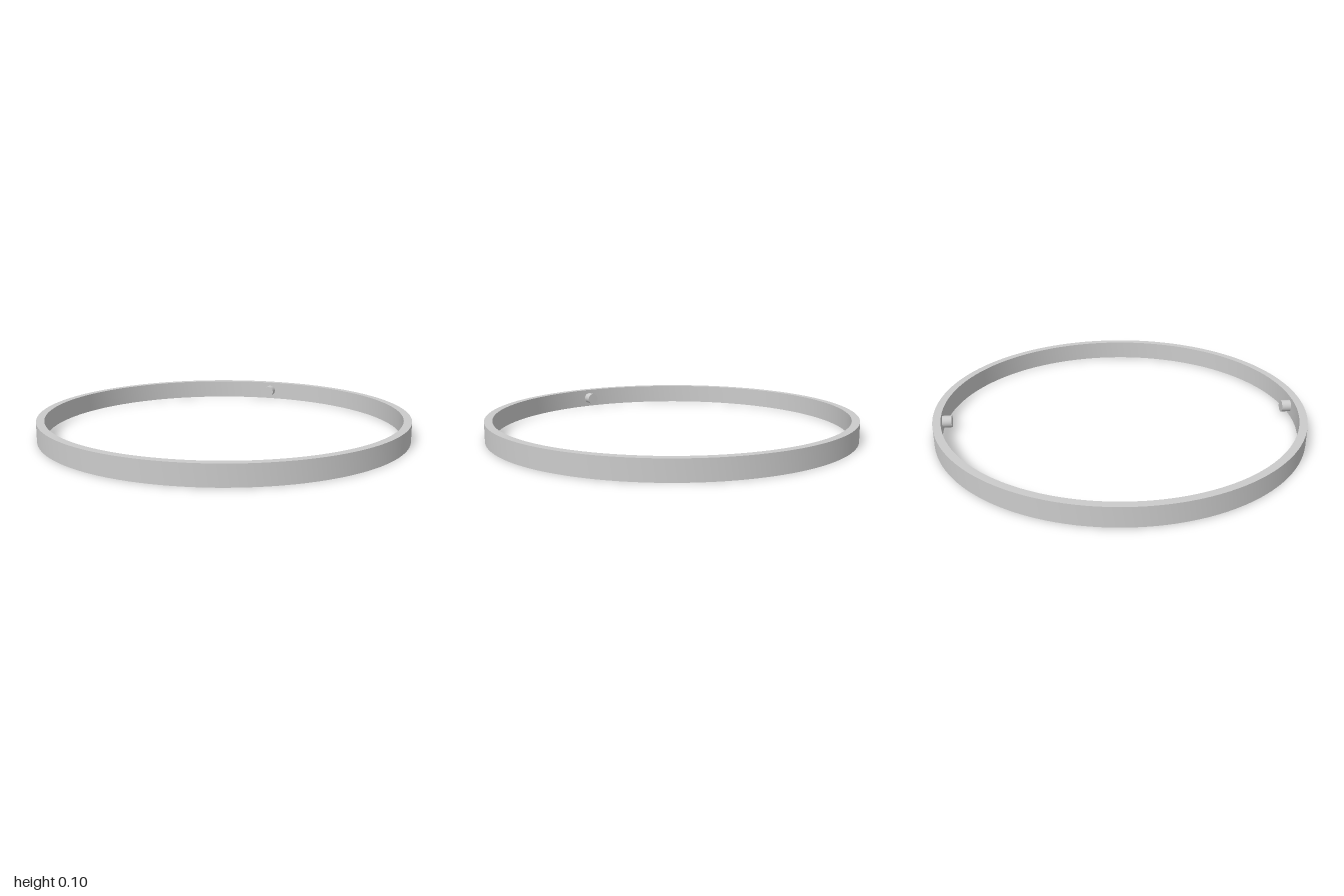
import * as THREE from 'three';
import { toCreasedNormals } from 'three/addons/utils/BufferGeometryUtils.js';

const OUTER = 1, INNER = 0.958, HEIGHT = 0.105;
const PIN_RADIUS = 0.032, PIN_TIP = 0.907;

export function createModel() {
  const group = new THREE.Group();
  const material = new THREE.MeshStandardMaterial({ color: 0xcccccc });

  // Flat band: a closed rectangular section turned around y
  const section = [
    [OUTER, 0], [OUTER, HEIGHT], [INNER, HEIGHT], [INNER, 0], [OUTER, 0],
  ].map(([r, y]) => new THREE.Vector2(r, y));
  const band = new THREE.Mesh(
    toCreasedNormals(new THREE.LatheGeometry(section, 128), Math.PI / 6), material);
  band.name = 'ringBand';
  group.add(band);

  // Two short round pins pointing inwards, rooted inside the band
  const root = (INNER + OUTER) / 2;
  const pinGeometry = new THREE.CylinderGeometry(PIN_RADIUS, PIN_RADIUS, root - PIN_TIP, 32);
  pinGeometry.rotateX(Math.PI / 2);
  for (const [name, side] of [['frontPin', 1], ['backPin', -1]]) {
    const pin = new THREE.Mesh(pinGeometry, material);
    pin.name = name;
    pin.position.set(0, HEIGHT / 2, side * (root + PIN_TIP) / 2);
    group.add(pin);
  }
  return group;
}
